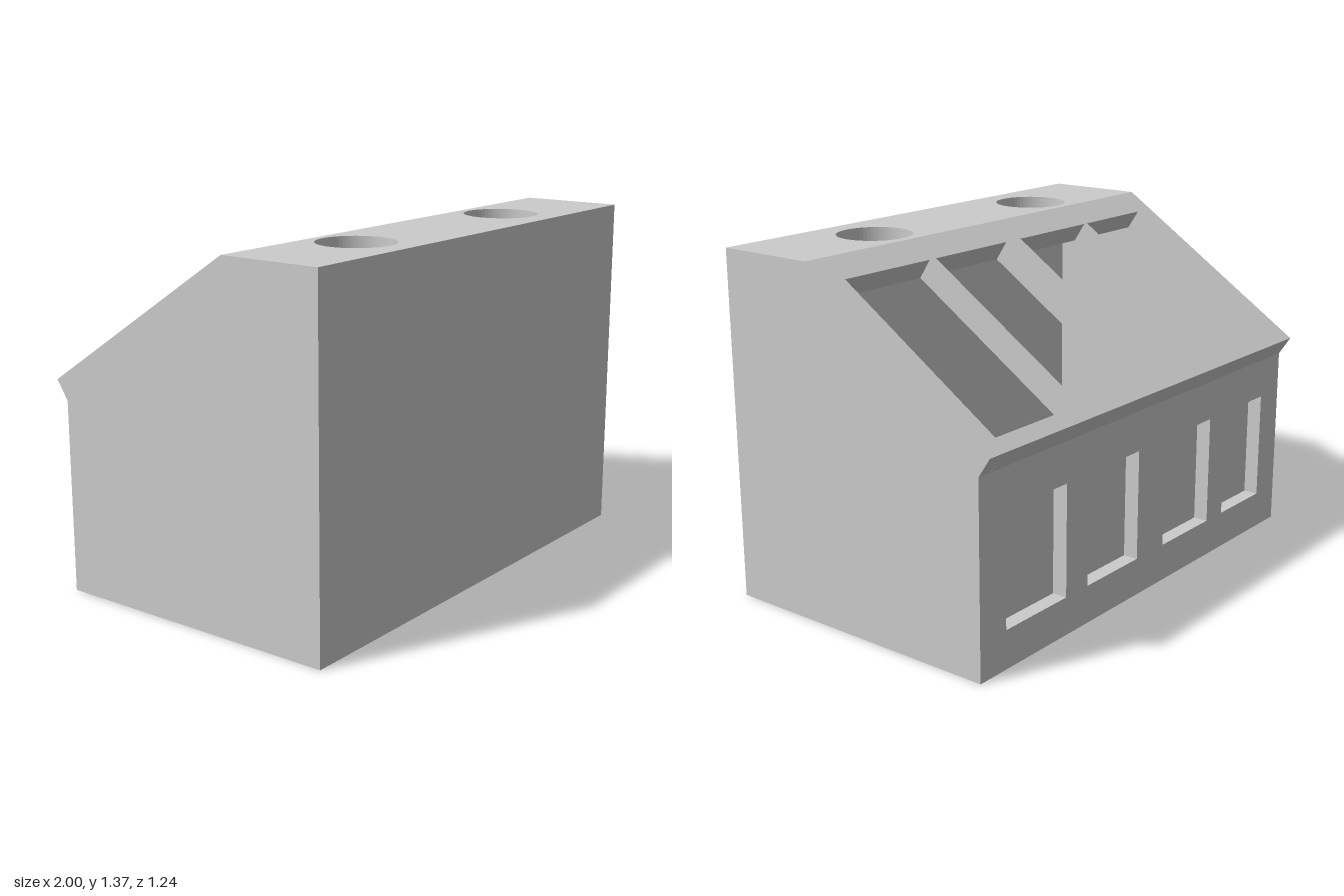
import * as THREE from 'three';

const material = new THREE.MeshStandardMaterial({ color: 0xcccccc });
const SIDE = 0.06; // thickness of the end walls
const HALF = 1 - SIDE; // the panels span between the end walls

// closed outline of an upright rectangle
function rect(path, x0, y0, x1, y1) {
  path.moveTo(x0, y0);
  path.lineTo(x1, y0);
  path.lineTo(x1, y1);
  path.lineTo(x0, y1);
  path.closePath();
  return path;
}

// slab between the end walls: starts at (y, z), runs along `angle` (0 = up,
// PI/2 = towards the front), and is thickened towards the inside
function panel(name, y, z, angle, length, depth, holes = []) {
  const shape = rect(new THREE.Shape(), -HALF, 0, HALF, length);
  shape.holes.push(...holes);
  const geometry = new THREE.ExtrudeGeometry(shape, { depth, bevelEnabled: false, curveSegments: 32 });
  const mesh = new THREE.Mesh(geometry, material);
  mesh.name = name;
  mesh.rotation.x = angle;
  mesh.position.set(0, y, z);
  return mesh;
}

export function createModel() {
  const model = new THREE.Group();
  model.name = 'slopedRoofBuilding';

  // end walls with the full side outline, as [z, y]
  const outline = [[0.62, 0], [0.62, 1.37], [0.21, 1.37], [-0.62, 0.825], [-0.57, 0.75], [-0.57, 0]];
  const sideShape = new THREE.Shape(outline.map(([z, y]) => new THREE.Vector2(z, y)));
  const sideGeometry = new THREE.ExtrudeGeometry(sideShape, { depth: SIDE, bevelEnabled: false });
  for (const [name, x] of [['leftWall', 1], ['rightWall', -HALF]]) {
    const wall = new THREE.Mesh(sideGeometry, material);
    wall.name = name;
    wall.rotation.y = -Math.PI / 2;
    wall.position.x = x;
    model.add(wall);
  }

  // plain front wall and floor
  model.add(panel('frontWall', 1.37, 0.62, Math.PI, 1.37, 0.07));
  model.add(panel('floor', 0, 0.55, -Math.PI / 2, 1.06, 0.06));

  // flat roof strip with two round openings
  const vents = [-0.495, 0.465].map((x) => new THREE.Path().absarc(x, 0.18, 0.147, 0, Math.PI * 2, true));
  model.add(panel('flatRoof', 1.37, 0.21, Math.PI / 2, 0.34, 0.075, vents));

  // sloping roof with four skylight openings; its lower end forms the eave
  const skylights = [[-0.905, -0.525], [-0.505, -0.075], [0.015, 0.43], [0.465, 0.905]]
    .map(([x0, x1]) => rect(new THREE.Path(), x0, 0.066, x1, 0.873));
  model.add(panel('slopingRoof', 0.825, -0.62, Math.atan2(0.83, 0.545), Math.hypot(0.83, 0.545), 0.09, skylights));

  // back wall with four recessed windows, closed by thin panes
  const windows = [[-0.86, -0.565], [-0.45, -0.12], [0.06, 0.385], [0.515, 0.86]];
  const [sill, head] = [0.15, 0.59];
  const windowHoles = windows.map(([x0, x1]) => rect(new THREE.Path(), x0, sill, x1, head));
  model.add(panel('backWall', 0, -0.57, 0, 0.78, 0.06, windowHoles));
  for (const [x0, x1] of windows) {
    const pane = new THREE.Mesh(new THREE.BoxGeometry(x1 - x0, head - sill, 0.008), material);
    pane.name = 'windowPane';
    pane.position.set((x0 + x1) / 2, (sill + head) / 2, -0.506);
    model.add(pane);
  }

  return model;
}
